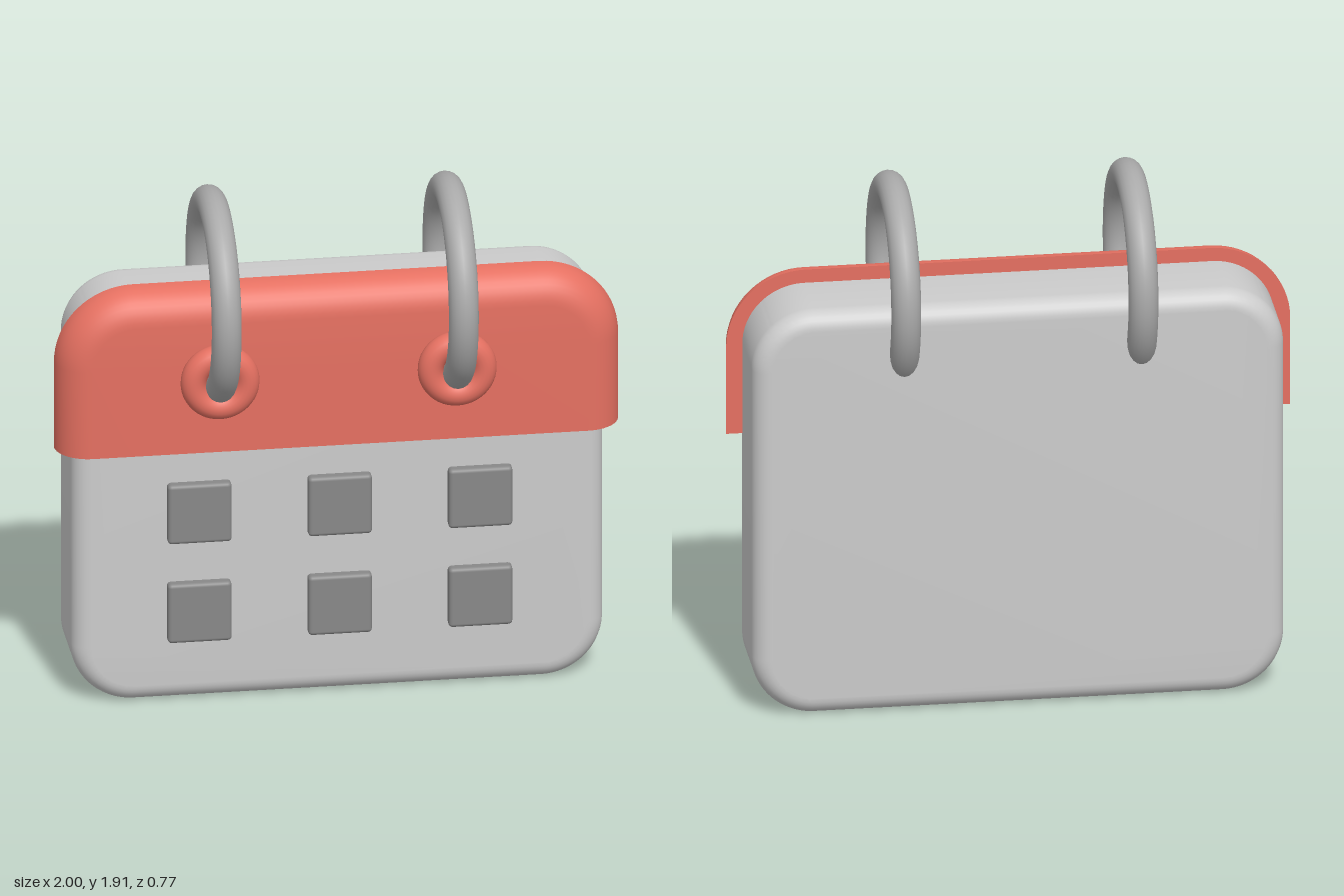
import * as THREE from 'three';
import { toCreasedNormals } from 'three/addons/utils/BufferGeometryUtils.js';
import { RoundedBoxGeometry } from 'three/addons/geometries/RoundedBoxGeometry.js';

const material = (color) => new THREE.MeshStandardMaterial({ color });
const grey = material(0xcccccc);
const ringGrey = material(0xaaaaaa);
const darkGrey = material(0x888888);
const red = material(0xe57061);

function addMesh(parent, name, geometry, mat, x = 0, y = 0, z = 0) {
  const mesh = new THREE.Mesh(geometry, mat);
  mesh.name = name;
  mesh.position.set(x, y, z);
  parent.add(mesh);
  return mesh;
}

// Rounded slab with softened edges, centred on its own middle
function slabGeometry(width, height, depth, radius, bevel) {
  const w = width / 2 - bevel, h = height / 2 - bevel, r = radius - bevel;
  const shape = new THREE.Shape();
  shape.absarc(w - r, h - r, r, 0, Math.PI / 2);
  shape.absarc(r - w, h - r, r, Math.PI / 2, Math.PI);
  shape.absarc(r - w, r - h, r, Math.PI, Math.PI * 1.5);
  shape.absarc(w - r, r - h, r, Math.PI * 1.5, Math.PI * 2);
  const geometry = new THREE.ExtrudeGeometry(shape, {
    depth: depth - 2 * bevel, bevelSize: bevel, bevelThickness: bevel,
    bevelSegments: 8, curveSegments: 16,
  });
  geometry.center();
  return toCreasedNormals(geometry, 0.6);
}

// Header: flat back and bottom, front rounded over along the sides and top
function coverGeometry(halfWidth, bottom, top, depth, radius) {
  const levels = 10, arc = 16, points = [], index = [];
  for (let k = 0; k <= levels; k++) {
    const a = (k / levels) * Math.PI / 2;
    const inset = depth * (1 - Math.cos(a)), z = depth * Math.sin(a);
    const w = halfWidth - inset, r = radius - inset;
    points.push(w, bottom, z);
    for (let side = 0; side < 2; side++) {
      for (let i = 0; i <= arc; i++) {
        const t = (side + i / arc) * Math.PI / 2;
        const cx = (side ? -1 : 1) * (halfWidth - radius);
        points.push(cx + r * Math.cos(t), top - radius + r * Math.sin(t), z);
      }
    }
    points.push(-w, bottom, z);
  }
  const n = 2 * arc + 4;
  const back = n * (levels + 1), front = back + 1;
  const middle = (bottom + top) / 2;
  points.push(0, middle, 0, 0, middle, depth);
  for (let i = 0; i < n; i++) {
    const j = (i + 1) % n;
    for (let k = 0; k < levels; k++) {
      const a = k * n + i, b = k * n + j;
      index.push(a, b, b + n, a, b + n, a + n);
    }
    index.push(back, j, i, front, levels * n + i, levels * n + j);
  }
  const geometry = new THREE.BufferGeometry();
  geometry.setAttribute('position', new THREE.Float32BufferAttribute(points, 3));
  geometry.setIndex(index);
  return toCreasedNormals(geometry, 0.6);
}

export function createModel() {
  const model = new THREE.Group();
  model.name = 'calendar';

  addMesh(model, 'pageBlock', slabGeometry(1.885, 1.53, 0.365, 0.22, 0.065), grey, 0, 0.765, -0.1125);
  addMesh(model, 'headerCover', coverGeometry(1, 0.97, 1.58, 0.12, 0.28), red);

  // Binding rings and the eyelets they pass through
  const ring = new THREE.TorusGeometry(0.333, 0.053, 20, 72);
  const eyelet = new THREE.TorusGeometry(0.094, 0.046, 20, 48);
  for (const x of [-0.434, 0.407]) {
    addMesh(model, 'bindingRing', ring, ringGrey, x, 1.525, 0).rotation.y = Math.PI / 2;
    addMesh(model, 'eyelet', eyelet, red, x, 1.26, 0.165);
  }

  // Two rows of day squares
  const square = new RoundedBoxGeometry(0.226, 0.226, 0.08, 3, 0.014);
  for (const y of [0.727, 0.347]) {
    for (const x of [-0.496, 0.002, 0.5]) {
      addMesh(model, 'daySquare', square, darkGrey, x, y, 0.065);
    }
  }
  return model;
}
